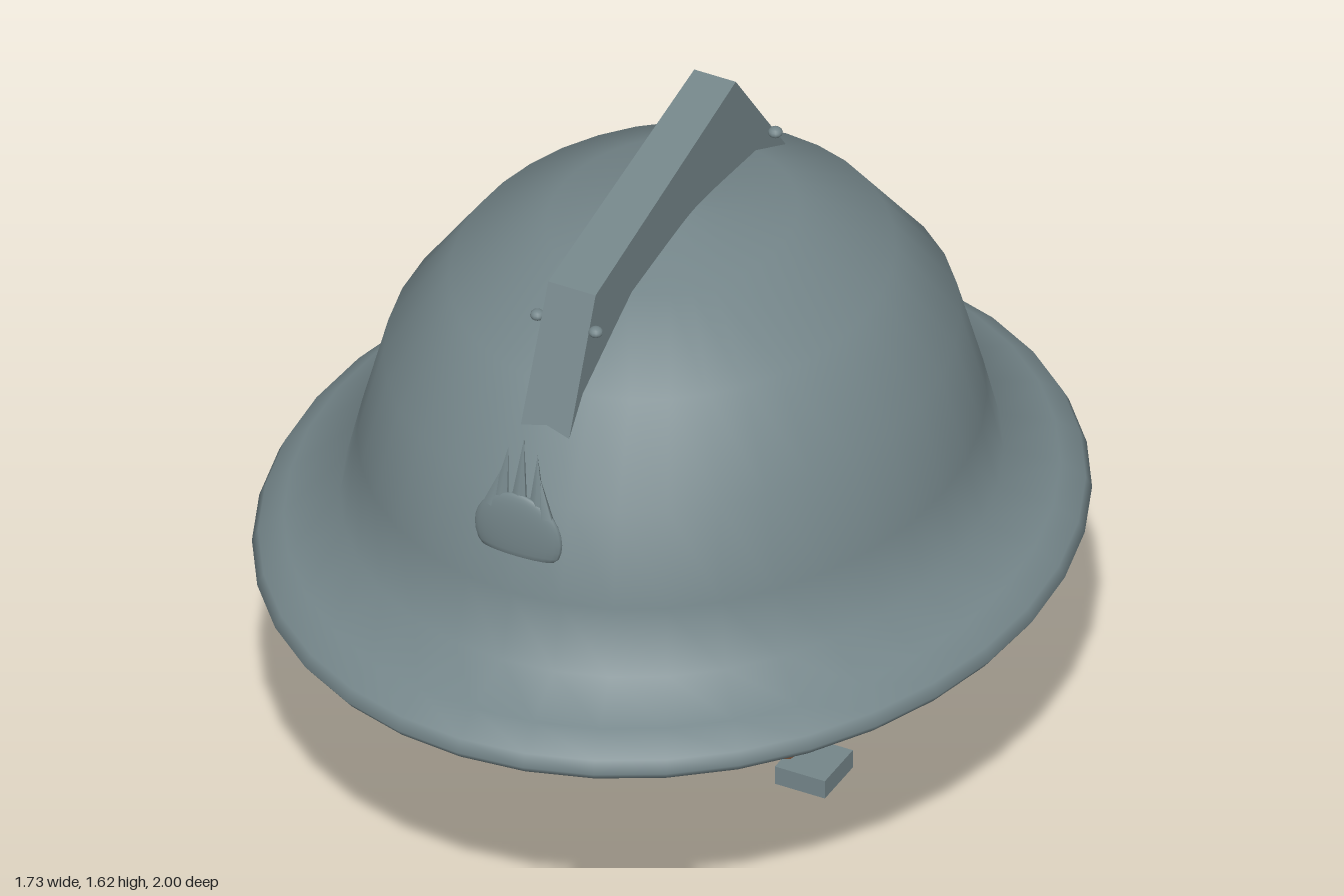
import * as THREE from 'three';

const steel = new THREE.MeshStandardMaterial({ color: 0x748589 });
steel.name = 'steel';
const leather = new THREE.MeshStandardMaterial({ color: 0x774d34 });
leather.name = 'leather';

function add(parent, name, geometry, material, x = 0, y = 0, z = 0) {
  const mesh = new THREE.Mesh(geometry, material);
  mesh.name = name;
  mesh.position.set(x, y, z);
  parent.add(mesh);
  return mesh;
}

const vec = ([x, y]) => new THREE.Vector2(x, y);

// Oval shell: lining from crown to brim, rolled lip, then the outer brim and dome
function shellGeometry() {
  const profile = [
    [0, 1.4], [0.29, 1.36], [0.515, 1.246], [0.667, 1.065], [0.73, 0.87], [0.766, 0.7],
    [0.915, 0.652], [0.965, 0.615], [0.968, 0.592], [0.984, 0.583],
    [1, 0.603], [0.985, 0.63], [0.925, 0.672], [0.79, 0.715],
    [0.75, 0.865], [0.687, 1.075], [0.532, 1.262], [0.3, 1.382], [0, 1.42],
  ].map(vec);
  return new THREE.LatheGeometry(profile, 36).scale(0.867, 1, 1);
}

// Comb ridge: side outline in (z, y), slightly wider towards the front
function combGeometry() {
  const outline = [[-0.71, 0.95], [0.69, 0.95], [0.465, 1.48], [-0.2, 1.62]].map(vec);
  const geo = new THREE.ExtrudeGeometry(new THREE.Shape(outline), { depth: 0.104, bevelEnabled: false });
  geo.translate(0, 0, -0.052).rotateY(-Math.PI / 2);
  const pos = geo.attributes.position;
  for (let i = 0; i < pos.count; i++) pos.setX(i, pos.getX(i) * (1 + 0.2 * pos.getZ(i)));
  geo.computeVertexNormals();
  return geo;
}

// Chin strap: half-loop outline given thickness, extruded to the strap width
function strapGeometry() {
  const half = [[0.305, 0.095], [0.517, 0.322], [0.613, 0.735]];
  const path = [...half.map(([x, y]) => [-x, y]).reverse(), [0, 0.007], ...half].map(vec);
  const offset = (d) => path.map((p, i) => {
    const a = path[Math.max(i - 1, 0)], b = path[Math.min(i + 1, path.length - 1)];
    const t = b.clone().sub(a).normalize();
    return new THREE.Vector2(p.x - t.y * d, p.y + t.x * d);
  });
  const shape = new THREE.Shape([...offset(-0.006), ...offset(0.006).reverse()]);
  return new THREE.ExtrudeGeometry(shape, { depth: 0.09, bevelEnabled: false }).translate(0, 0, -0.045);
}

// Front badge: flattened ball with a broad cut base and a fan of flames
function badge() {
  const group = new THREE.Group();
  group.name = 'badge';
  const ball = new THREE.SphereGeometry(1, 24, 16).scale(0.105, 0.1, 0.02);
  const pos = ball.attributes.position;
  for (let i = 0; i < pos.count; i++) pos.setY(i, Math.max(pos.getY(i), -0.05));
  ball.computeVertexNormals();
  add(group, 'badgeBall', ball, steel, 0, 0.998, 0.713);
  for (const [x, tip, height] of [[-0.062, -0.045, 1.15], [-0.045, -0.035, 1.2], [0, 0, 1.23],
    [0.045, 0.035, 1.2], [0.062, 0.045, 1.15]]) {
    const length = height - 1.055;
    const flame = new THREE.ConeGeometry(0.023, length, 6).scale(1, 1, 0.45).translate(0, length / 2, 0);
    const mesh = add(group, 'flame', flame, steel, x, 1.055, 0.715);
    mesh.rotation.set(-0.16, 0, Math.atan2(x - tip, length));
  }
  return group;
}

export function createModel() {
  const model = new THREE.Group();
  model.name = 'helmet';

  add(model, 'shell', shellGeometry(), steel);
  add(model, 'comb', combGeometry(), steel);
  model.add(badge());
  add(model, 'chinStrap', strapGeometry(), leather);
  add(model, 'buckle', new THREE.BoxGeometry(0.12, 0.045, 0.13), steel, 0.347, 0.061, 0.012);

  // Paired comb rivets and strap anchor pins
  for (const side of [-1, 1]) {
    for (const z of [0.49, -0.345]) {
      const rivet = new THREE.SphereGeometry(0.016, 12, 8).scale(1, 0.75, 1);
      add(model, 'rivet', rivet, steel, side * 0.07, 1.405, z);
    }
    const pin = new THREE.CylinderGeometry(0.03, 0.03, 0.12, 12).rotateX(Math.PI / 2);
    add(model, 'strapPin', pin, steel, side * 0.62, 0.755, 0);
  }
  return model;
}
